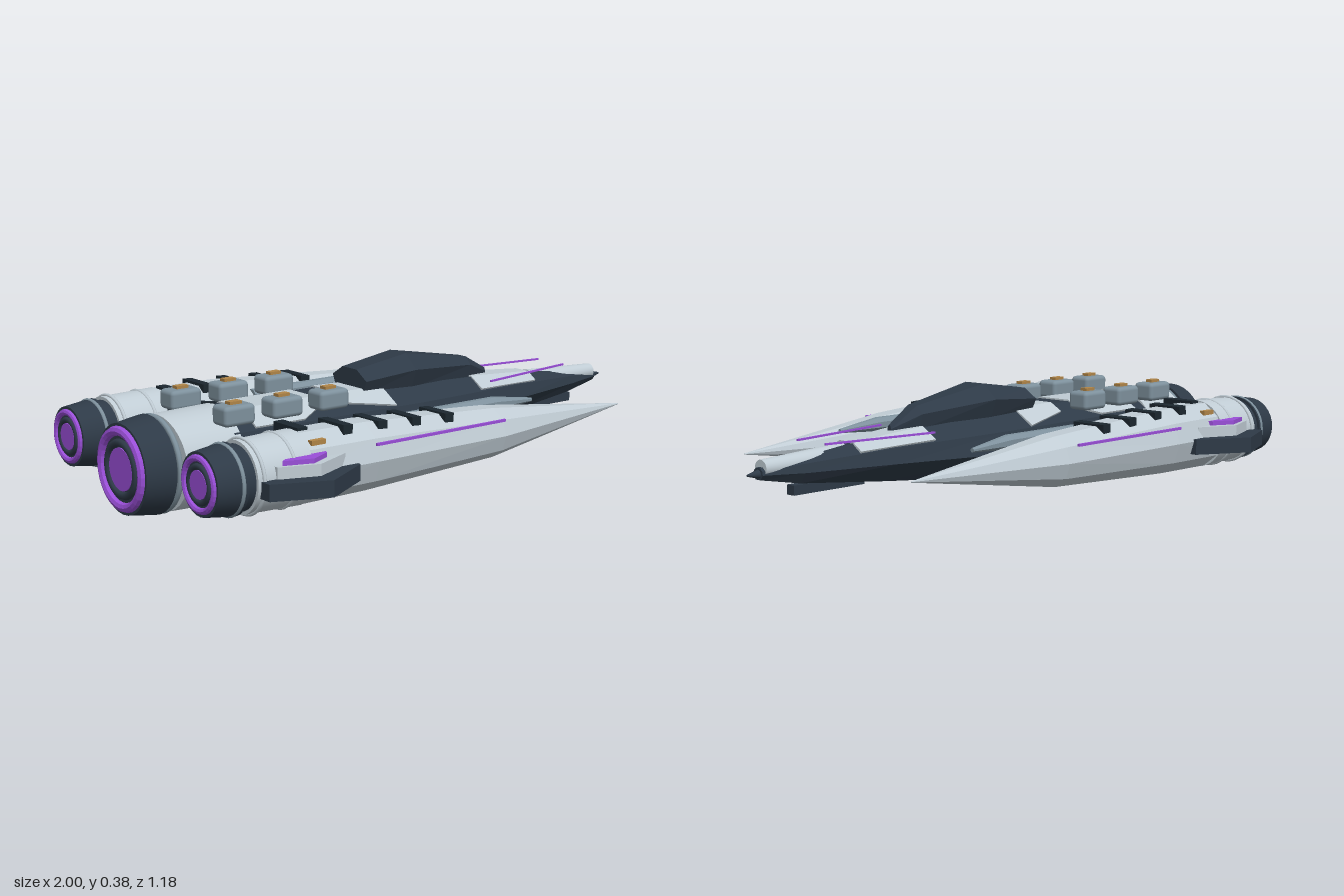
import * as THREE from 'three';
import { RoundedBoxGeometry } from 'three/addons/geometries/RoundedBoxGeometry.js';

const mat = (color, flatShading = true) => new THREE.MeshStandardMaterial({ color, flatShading });
const DARK = mat(0x2e3a47), BLACK = mat(0x1c272f), LIGHT = mat(0xc0ccd4), GREY = mat(0x7e919d);
const PURPLE = mat(0x9a4fd8), GOLD = mat(0xb08548);
const SMOOTH_DARK = mat(0x2e3a47, false), SMOOTH_LIGHT = mat(0xc0ccd4, false), SMOOTH_GREY = mat(0x7e919d, false);

// Skin between cross-sections; points run from the top towards +z, sections towards +x.
function loft(sections) {
  const n = sections[0].length, pos = [];
  const tri = (a, b, c) => pos.push(...a, ...b, ...c);
  for (let s = 0; s < sections.length - 1; s++) {
    const A = sections[s], B = sections[s + 1];
    for (let i = 0; i < n; i++) {
      const j = (i + 1) % n;
      tri(A[i], A[j], B[i]);
      tri(A[j], B[j], B[i]);
    }
  }
  const first = sections[0], last = sections[sections.length - 1];
  for (let i = 1; i < n - 1; i++) {
    tri(first[0], first[i + 1], first[i]);
    tri(last[0], last[i], last[i + 1]);
  }
  const g = new THREE.BufferGeometry();
  g.setAttribute('position', new THREE.Float32BufferAttribute(pos, 3));
  g.computeVertexNormals();
  return g;
}

// Elliptical ring of points around (x, y, z).
const ring = (x, y, z, ry, rz, n) => Array.from({ length: n }, (_, i) => {
  const t = ((i + 0.5) / n) * Math.PI * 2;
  return [x, y + ry * Math.cos(t), z + rz * Math.sin(t)];
});

// Horizontal plate from an x-z outline.
function plate(outline, yTop, thick) {
  const shape = new THREE.Shape(outline.map(p => new THREE.Vector2(...p)));
  return new THREE.ExtrudeGeometry(shape, { depth: thick, bevelEnabled: false })
    .rotateX(Math.PI / 2).translate(0, yTop, 0);
}

const box = (w, h, d, x, y, z, yaw = 0, pitch = 0) =>
  new THREE.BoxGeometry(w, h, d).rotateZ(pitch).rotateY(yaw).translate(x, y, z);

// Drum lying along x, from x0 to x1.
const drum = (x0, x1, r0, r1, y, z) =>
  new THREE.CylinderGeometry(r1, r0, x1 - x0, 32).rotateZ(-Math.PI / 2).translate((x0 + x1) / 2, y, z);

const hoop = (x, r, tube, y, z) =>
  new THREE.TorusGeometry(r, tube, 8, 32).rotateY(Math.PI / 2).translate(x, y, z);

// Mirror across z = 0, swapping corners so faces still point outwards.
function mirrored(geo) {
  const g = geo.index ? geo.toNonIndexed() : geo.clone();
  g.scale(1, 1, -1);
  for (const a of Object.values(g.attributes)) {
    const k = a.itemSize;
    for (let i = 0; i < a.count; i += 3)
      for (let c = 0; c < k; c++) {
        const p = (i + 1) * k + c, q = (i + 2) * k + c;
        [a.array[p], a.array[q]] = [a.array[q], a.array[p]];
      }
  }
  return g;
}

// Main hull profile: x, half width, bottom, top.
const HULL = [[-0.68, 0.165, 0.085, 0.29], [-0.2, 0.172, 0.075, 0.292], [0.05, 0.165, 0.082, 0.285],
  [0.5, 0.1, 0.12, 0.258], [0.82, 0.045, 0.15, 0.228], [0.96, 0.022, 0.175, 0.21]];
function hullAt(x) {
  let i = 0;
  while (i < HULL.length - 2 && x > HULL[i + 1][0]) i++;
  const a = HULL[i], b = HULL[i + 1], t = (x - a[0]) / (b[0] - a[0]);
  return a.map((v, k) => v + (b[k] - v) * t);
}
function hullSection(x) {
  const [, w, lo, hi] = hullAt(x), h = hi - lo;
  const half = [[hi, 0.38 * w], [lo + 0.76 * h, 0.85 * w], [lo + 0.42 * h, w], [lo, 0.5 * w]];
  return [...half.map(([y, z]) => [x, y, z]), ...half.reverse().map(([y, z]) => [x, y, -z])];
}
// Thin armour over the roof of the hull; k0 and k1 set how far it reaches down the slope.
function roofPanel(x0, x1, k0 = 1, k1 = 1) {
  const sec = (x, k) => {
    const s = hullSection(x), [, ty, tz] = s[0], [, sy, sz] = s[1];
    const y = ty + (sy - ty) * k, z = tz + (sz - tz) * k, o = 0.005;
    return [[x, ty + o, tz], [x, y + o, z + o], [x, y - 0.02, z - 0.01],
      [x, y - 0.02, 0.01 - z], [x, y + o, -z - o], [x, ty + o, -tz]];
  };
  return loft([sec(x0, k0), sec(x1, k1)]);
}

export function createModel() {
  const model = new THREE.Group();
  model.name = 'starship';
  const add = (name, geo, material) => {
    const m = new THREE.Mesh(geo, material);
    m.name = name;
    model.add(m);
  };
  const pair = (name, geo, material) => {
    add(name + 'Left', geo, material);
    add(name + 'Right', mirrored(geo), material);
  };

  // Central hull, roof armour and nose
  add('hull', loft(HULL.map(h => hullSection(h[0]))), DARK);
  add('rearRoof', roofPanel(-0.6, -0.42, 0.9, 0.9), LIGHT);
  add('middleRoof', roofPanel(-0.42, -0.33, 0.9, 0.4), LIGHT);
  add('canopySurround', roofPanel(-0.24, -0.06, 0.5, 0.95), LIGHT);
  add('noseRoof', roofPanel(0.34, 0.62, 0.9, 0.9), LIGHT);
  add('noseBarrel', drum(0.64, 0.95, 0.042, 0.026, 0.207, 0), SMOOTH_LIGHT);
  add('noseTip', drum(0.94, 1, 0.018, 0.003, 0.192, 0), SMOOTH_DARK);
  add('chinGun', box(0.28, 0.03, 0.032, 0.7, 0.13, 0), DARK);
  pair('noseStripe', box(0.4, 0.006, 0.006, 0.56, 0.263, 0.092, 0.15), PURPLE);

  // Canopy: x, half width, bottom, shoulder, top
  add('canopy', loft([[-0.14, 0.088, 0.27, 0.32, 0.352], [0.06, 0.095, 0.27, 0.335, 0.382],
    [0.34, 0.045, 0.26, 0.31, 0.335], [0.44, 0.008, 0.255, 0.27, 0.282]].map(([x, w, lo, mid, hi]) =>
    [[x, hi, 0.42 * w], [x, mid, w], [x, lo, 0.75 * w], [x, lo, -0.75 * w], [x, mid, -w], [x, hi, -0.42 * w]])), DARK);

  // Main engine
  add('engineCowl', drum(-0.86, -0.66, 0.147, 0.152, 0.154, 0).scale(1, 1, 1.12), SMOOTH_LIGHT);
  add('engineCollar', drum(-0.67, -0.62, 0.14, 0.125, 0.16, 0), SMOOTH_DARK);
  add('engineNeck', drum(-0.9, -0.85, 0.138, 0.138, 0.154, 0), SMOOTH_DARK);
  add('engineBand', hoop(-0.873, 0.143, 0.009, 0.154, 0), SMOOTH_GREY);
  add('engineNozzle', drum(-0.985, -0.89, 0.138, 0.152, 0.154, 0), SMOOTH_DARK);
  add('engineGlowRing', hoop(-0.985, 0.115, 0.015, 0.154, 0), PURPLE);
  add('engineInnerRing', hoop(-0.985, 0.08, 0.012, 0.154, 0), SMOOTH_DARK);
  add('engineGlow', drum(-0.99, -0.98, 0.065, 0.065, 0.154, 0), PURPLE);

  // Roof boxes with gold caps
  for (const x of [-0.685, -0.51, -0.335]) {
    pair('roofBox', new RoundedBoxGeometry(0.11, 0.062, 0.078, 2, 0.014).translate(x, 0.304, 0.145), SMOOTH_GREY);
    pair('roofBoxCap', box(0.042, 0.012, 0.026, x, 0.338, 0.145), GOLD);
  }

  // Side pods
  const pz = 0.37, py = 0.18;
  pair('podHull', loft([ring(-0.65, py, pz, 0.112, 0.108, 10), ring(-0.4, py, pz, 0.11, 0.112, 10),
    ring(0.12, 0.174, pz, 0.083, 0.092, 10), ring(0.71, 0.182, 0.375, 0.002, 0.002, 10)]), LIGHT);
  pair('podCowl', drum(-0.83, -0.64, 0.108, 0.113, py, pz), SMOOTH_LIGHT);
  pair('podNozzle', drum(-0.955, -0.86, 0.094, 0.107, py, pz), SMOOTH_DARK);
  pair('podNeck', drum(-0.87, -0.82, 0.098, 0.098, py, pz), SMOOTH_DARK);
  pair('podNeckBand', hoop(-0.875, 0.102, 0.007, py, pz), SMOOTH_GREY);
  for (const x of [-0.81, -0.7]) pair('podBand', hoop(x, 0.11, 0.006, py, pz), SMOOTH_LIGHT);
  pair('podGlowRing', hoop(-0.955, 0.076, 0.01, py, pz), PURPLE);
  pair('podInnerRing', hoop(-0.955, 0.052, 0.009, py, pz), SMOOTH_DARK);
  pair('podGlow', drum(-0.96, -0.95, 0.042, 0.042, py, pz), PURPLE);
  [-0.48, -0.35, -0.22, -0.09].forEach((x, i) =>
    pair('podStrap', box(0.034, 0.03, 0.124, x, 0.278 - i * 0.007, pz, 0, -0.05), BLACK));
  pair('podCollar', box(0.035, 0.05, 0.12, -0.61, 0.27, 0.325), BLACK);
  pair('podLatch', box(0.05, 0.014, 0.02, -0.6, 0.262, 0.442), GOLD);
  pair('podStripe', box(0.51, 0.008, 0.008, -0.155, 0.231, 0.477), PURPLE);

  // Inner booms beside the pods
  pair('boom', loft([ring(-0.32, 0.235, 0.292, 0.024, 0.024, 8), ring(0.22, 0.235, 0.292, 0.024, 0.024, 8),
    ring(0.38, 0.228, 0.297, 0.007, 0.007, 8)]), GREY);

  // Wings joining the hull to the pods
  pair('wingCore', plate([[-0.66, 0.13], [0.12, 0.13], [0.08, 0.29], [-0.64, 0.3]], 0.19, 0.05), DARK);
  pair('wingSkin', plate([[-0.64, 0.195], [-0.06, 0.195], [-0.27, 0.29], [-0.66, 0.3]], 0.225, 0.05), GREY);
  pair('wingEdge', plate([[-0.06, 0.195], [-0.03, 0.195], [-0.2, 0.28], [-0.25, 0.28]], 0.228, 0.03), LIGHT);
  pair('wingLight', plate([[-0.14, 0.215], [-0.08, 0.2], [-0.19, 0.262], [-0.24, 0.265]], 0.236, 0.02), PURPLE);
  for (let i = 0; i < 3; i++)
    pair('wingLouver', box(0.09, 0.02, 0.016, -0.62 + i * 0.05, 0.24, 0.245 + i * 0.008, 0.85), BLACK);
  for (const x of [-0.74, 0.06])
    pair('wingRoot', new RoundedBoxGeometry(0.12, 0.085, 0.07, 2, 0.012).translate(x, 0.17, 0.172), SMOOTH_GREY);
  pair('wingRootLight', box(0.05, 0.008, 0.02, 0.08, 0.215, 0.185), PURPLE);

  // Outer fins
  pair('fin', plate([[-0.82, 0.4], [-0.48, 0.4], [-0.48, 0.49], [-0.65, 0.588], [-0.82, 0.515]], 0.187, 0.05), DARK);
  pair('finArmour', plate([[-0.77, 0.42], [-0.5, 0.42], [-0.52, 0.47], [-0.65, 0.528], [-0.77, 0.485]], 0.222, 0.04), LIGHT);
  pair('finLight', plate([[-0.71, 0.45], [-0.58, 0.45], [-0.59, 0.475], [-0.66, 0.51], [-0.75, 0.48]], 0.236, 0.02), PURPLE);

  return model;
}
